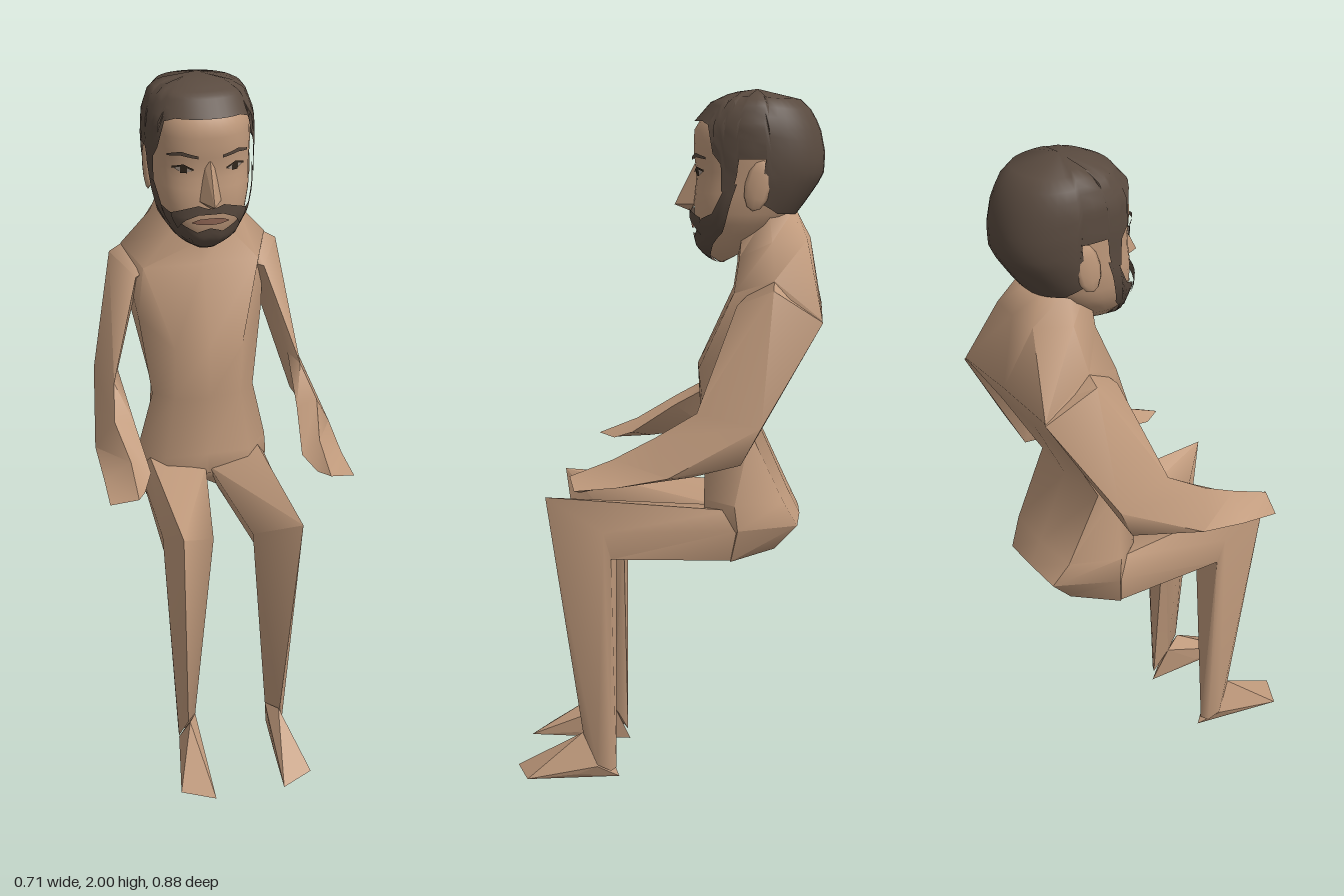
import * as THREE from 'three';
import { toCreasedNormals } from 'three/addons/utils/BufferGeometryUtils.js';
import { ConvexGeometry } from 'three/addons/geometries/ConvexGeometry.js';

const material = (name, color) => Object.assign(new THREE.MeshStandardMaterial({ color, side: THREE.DoubleSide }), { name });
const lerp = THREE.MathUtils.lerp;

function build(points, index) {
  const g = new THREE.BufferGeometry();
  g.setAttribute('position', new THREE.Float32BufferAttribute(points.flat(), 3));
  g.setIndex(index);
  return toCreasedNormals(g, 1.1);
}

// Closed skin over rings of equal point count, capped at both ends, turned outward
function loft(rings) {
  const n = rings[0].length, points = rings.flat(), index = [];
  const middle = r => [0, 1, 2].map(k => r.reduce((s, p) => s + p[k], 0) / n);
  const first = points.length, last = first + 1, end = (rings.length - 1) * n;
  points.push(middle(rings[0]), middle(rings[rings.length - 1]));
  for (let j = 0; j < n; j++) {
    const k = (j + 1) % n;
    for (let i = 0; i < end; i += n) index.push(i + j, i + n + j, i + k, i + k, i + n + j, i + n + k);
    index.push(first, j, k, last, end + k, end + j);
  }
  let volume = 0;
  const [a, b, c] = [0, 1, 2].map(() => new THREE.Vector3());
  for (let i = 0; i < index.length; i += 3) {
    a.set(...points[index[i]]); b.set(...points[index[i + 1]]); c.set(...points[index[i + 2]]);
    volume += a.dot(b.cross(c));
  }
  if (volume < 0) index.reverse();
  return build(points, index);
}

// Head outline by height: y, half width, front z, back z, roundness
const HEAD = [
  [1.528, 0, -0.15, -0.16, 0.9], [1.535, 0.022, -0.13, -0.18, 0.9], [1.575, 0.078, -0.095, -0.24, 0.85],
  [1.64, 0.12, -0.08, -0.33, 0.78], [1.70, 0.134, -0.078, -0.375, 0.78], [1.77, 0.14, -0.085, -0.422, 0.82],
  [1.83, 0.143, -0.076, -0.425, 0.85], [1.90, 0.14, -0.077, -0.41, 0.9], [1.965, 0.117, -0.135, -0.372, 0.9],
  [1.99, 0.065, -0.19, -0.315, 0.95], [2.0, 0, -0.25, -0.25, 1],
];

// Point on the head; angle 0 faces the front, positive turns to +x
function headPoint(degrees, y, offset) {
  let i = 0;
  while (i < HEAD.length - 2 && y > HEAD[i + 1][0]) i++;
  const t = (y - HEAD[i][0]) / (HEAD[i + 1][0] - HEAD[i][0]);
  const [w, f, b, round] = [1, 2, 3, 4].map(k => lerp(HEAD[i][k], HEAD[i + 1][k], t));
  const a = THREE.MathUtils.degToRad(degrees), s = Math.sin(a), c = Math.cos(a), o = offset * Math.min(1, w / 0.05);
  const depth = c > 0 ? c ** round : c;
  return [w * Math.sign(s) * Math.abs(s) ** round + s * o, y, (f + b) / 2 + (f - b) / 2 * depth + c * o];
}

// Patch of head surface; columns are [angle, top y, bottom y]
function panel(columns, offset, rows = 4, step = 8) {
  const cols = [columns[0]];
  for (let i = 1; i < columns.length; i++) {
    const n = Math.ceil((columns[i][0] - columns[i - 1][0]) / step);
    for (let k = 1; k <= n; k++) cols.push(columns[i].map((v, j) => lerp(columns[i - 1][j], v, k / n)));
  }
  const points = [], index = [], m = rows + 1;
  cols.forEach(([a, top, bottom], i) => {
    for (let j = 0; j <= rows; j++) {
      points.push(headPoint(a, lerp(bottom, top, j / rows), offset));
      if (i && j) {
        const p = (i - 1) * m + j - 1, q = i * m + j - 1;
        index.push(p, q, p + 1, p + 1, q, q + 1);
      }
    }
  });
  return build(points, index);
}
const bothSides = half => [...half.slice(1).reverse().map(([a, t, b]) => [-a, t, b]), ...half];

export function createModel() {
  const skin = material('skin', 0xc09a7c), hair = material('dark brown hair', 0x594a3f);
  const lip = material('lips', 0x9c6f5c), white = material('eye white', 0xa8978a), dark = material('iris', 0x33291f);
  const model = new THREE.Group();
  model.name = 'seatedMan';
  const add = (name, geometry, mat = skin) => {
    const mesh = new THREE.Mesh(geometry, mat);
    mesh.name = name;
    model.add(mesh);
    return mesh;
  };

  // Torso: half rings from front centre to back centre, neck down to seat
  const torso = [
    [[0, 1.67, -0.2], [0.075, 1.67, -0.22], [0.095, 1.68, -0.29], [0.06, 1.67, -0.35], [0, 1.67, -0.365]],
    [[0, 1.53, -0.2], [0.09, 1.55, -0.21], [0.13, 1.595, -0.3], [0.09, 1.6, -0.395], [0, 1.6, -0.403]],
    [[0, 1.46, -0.19], [0.17, 1.46, -0.2], [0.215, 1.5, -0.31], [0.21, 1.395, -0.44], [0, 1.4, -0.44]],
    [[0, 1.24, -0.09], [0.1, 1.24, -0.1], [0.185, 1.3, -0.22], [0.18, 1.25, -0.35], [0, 1.25, -0.352]],
    [[0, 1.07, -0.1], [0.1, 1.07, -0.12], [0.155, 1.06, -0.19], [0.148, 1.07, -0.25], [0, 1.07, -0.265]],
    [[0, 0.87, -0.12], [0.13, 0.87, -0.12], [0.2, 0.87, -0.21], [0.14, 0.87, -0.345], [0, 0.87, -0.355]],
    [[0, 0.81, -0.11], [0.12, 0.78, -0.12], [0.208, 0.8, -0.22], [0.115, 0.795, -0.385], [0, 0.8, -0.39]],
    [[0, 0.74, -0.19], [0.07, 0.715, -0.16], [0.18, 0.702, -0.2], [0.1, 0.72, -0.32], [0, 0.745, -0.32]],
  ];
  add('torso', loft(torso.map(h => [...h, ...h.slice(1, -1).reverse().map(([x, y, z]) => [-x, y, z])])));

  // Limbs, each described for the +x side
  const arm = [
    [[0.15, 1.44, -0.23], [0.16, 1.53, -0.31], [0.15, 1.41, -0.42], [0.12, 1.39, -0.31]],
    [[0.19, 1.43, -0.21], [0.25, 1.477, -0.31], [0.213, 1.39, -0.442], [0.17, 1.38, -0.3]],
    [[0.28, 1.15, -0.11], [0.314, 1.12, -0.285], [0.285, 1.01, -0.23], [0.258, 1.16, -0.175]],
    [[0.3, 1.085, 0], [0.353, 0.985, -0.04], [0.31, 0.98, -0.1], [0.24, 1.065, 0]],
    [[0.275, 1.015, 0.12], [0.35, 0.955, 0.1], [0.3, 0.955, 0.08], [0.221, 0.98, 0.13]],
    [[0.275, 0.965, 0.24], [0.352, 0.943, 0.215], [0.34, 0.937, 0.2], [0.25, 0.955, 0.19]],
  ];
  const leg = [
    [[0.17, 0.85, -0.2], [0.005, 0.82, -0.13], [0.04, 0.72, -0.17], [0.178, 0.705, -0.2], [0.2, 0.8, -0.22]],
    [[0.17, 0.873, 0.33], [0.058, 0.78, 0.205], [0.08, 0.7, 0.14], [0.188, 0.7, 0.14], [0.198, 0.78, 0.16]],
    [[0.145, 0.14, 0.235], [0.112, 0.12, 0.18], [0.135, 0.03, 0.138], [0.16, 0.03, 0.15], [0.166, 0.05, 0.19]],
  ];
  const foot = [
    [0.14, 0.14, 0.238], [0.112, 0.12, 0.18], [0.13, 0, 0.13], [0.166, 0.045, 0.19],
    [0.172, 0.02, 0.25], [0.112, 0.02, 0.3], [0.202, 0.012, 0.395], [0.105, 0.01, 0.442],
  ];
  for (const [side, s] of [['left', 1], ['right', -1]]) {
    const flip = ([x, y, z]) => [s * x, y, z];
    add(side + 'Arm', loft(arm.map(r => r.map(flip))));
    add(side + 'Leg', loft(leg.map(r => r.map(flip))));
    add(side + 'Foot', new ConvexGeometry(foot.map(p => new THREE.Vector3(...flip(p)))));

    // Ear, eye and brow
    const ear = add(side + 'Ear', new THREE.SphereGeometry(1, 8, 6));
    ear.scale.set(0.012, 0.068, 0.036);
    ear.position.set(s * 0.141, 1.745, -0.26);
    ear.rotation.x = -0.2;
    const sided = c => s > 0 ? c : c.map(([a, t, b]) => [-a, t, b]).reverse();
    add(side + 'Eye', panel(sided([[16, 1.777, 1.775], [25, 1.791, 1.768], [36, 1.785, 1.779]]), 0.004), white);
    add(side + 'Iris', panel(sided([[21, 1.788, 1.769], [29, 1.79, 1.769]]), 0.006), dark);
    add(side + 'Lash', panel(sided([[14, 1.781, 1.775], [25, 1.794, 1.789], [39, 1.786, 1.78]]), 0.006), dark);
    add(side + 'Brow', panel(sided([[10, 1.818, 1.81], [28, 1.83, 1.819], [45, 1.82, 1.814]]), 0.007), hair);
  }

  // Head and face
  add('head', panel([[-180, 1.975, 1.528], [180, 1.975, 1.528]], 0, 16, 10));
  add('nose', new ConvexGeometry([
    [0, 1.8, -0.078], [0.014, 1.79, -0.09], [-0.014, 1.79, -0.09], [0, 1.688, -0.022], [0.03, 1.69, -0.078],
    [-0.03, 1.69, -0.078], [0, 1.67, -0.068], [0, 1.72, -0.1],
  ].map(p => new THREE.Vector3(...p))));
  add('lips', panel(bothSides([[0, 1.643, 1.622], [10, 1.641, 1.624], [20, 1.632, 1.63]]), 0.01), lip);

  // Hair, with sideburns in front of the ears and a low nape
  add('hair', panel(bothSides([
    [0, 2, 1.915], [35, 2, 1.915], [48, 2, 1.905], [56, 2, 1.83], [64, 2, 1.8], [68, 2, 1.73], [78, 2, 1.73],
    [80, 2, 1.815], [100, 2, 1.815], [104, 2, 1.7], [130, 2, 1.67], [180, 2, 1.665],
  ]), 0.013, 12, 10), hair);
  add('beard', panel(bothSides([
    [0, 1.612, 1.53], [16, 1.6, 1.53], [32, 1.62, 1.532], [46, 1.655, 1.54], [62, 1.67, 1.56],
    [70, 1.74, 1.585], [80, 1.75, 1.62],
  ]), 0.011, 6), hair);
  add('moustache', panel(bothSides([
    [0, 1.67, 1.655], [10, 1.682, 1.655], [26, 1.672, 1.64], [46, 1.658, 1.61],
  ]), 0.014), hair);
  return model;
}
